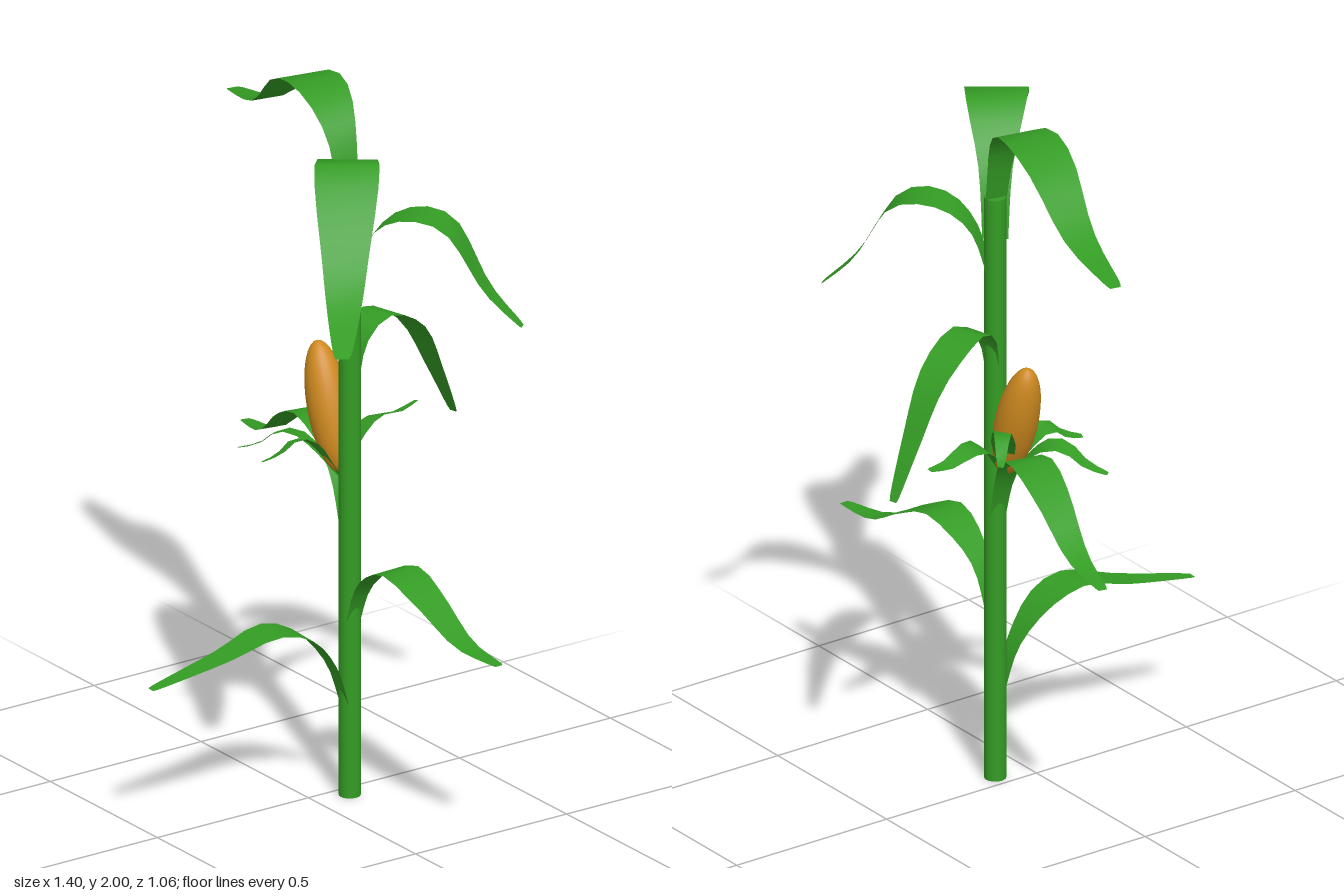
import * as THREE from 'three';

const STALK = { x: 0.045, z: -0.105, r: 0.03, top: 1.73 };
const EAR_TILT = 0.3;
const green = new THREE.MeshStandardMaterial({ color: 0x349c24, side: THREE.DoubleSide });
const gold = new THREE.MeshStandardMaterial({ color: 0xcf8a1f });

// Half-width along a blade: narrow sheath, broad middle, blunt tip
const outline = new THREE.SplineCurve(
  [[0, 0.4], [0.18, 0.53], [0.42, 1], [0.7, 0.69], [0.95, 0.34], [1, 0.2]].map(([t, w]) => new THREE.Vector2(t, w)));

// Ribbon blade: path holds [distance outward, height], heading is [x, z], tilt leans its cross-section about z
function blade(name, [bx, bz], [dx, dz], path, halfWidth, steps, tilt) {
  const dir = new THREE.Vector3(dx, 0, dz).normalize();
  const side = new THREE.Vector3(-dir.z, 0, dir.x).applyAxisAngle(new THREE.Vector3(0, 0, 1), tilt);
  const spine = new THREE.CatmullRomCurve3(
    path.map(([r, y]) => new THREE.Vector3(bx + dir.x * r, y, bz + dir.z * r)));
  const pos = [], index = [];
  for (let i = 0; i <= steps; i++) {
    const o = outline.getPoint(i / steps);
    const p = spine.getPointAt(THREE.MathUtils.clamp(o.x, 0, 1));
    for (const s of [1, -1]) pos.push(...p.clone().addScaledVector(side, s * halfWidth * o.y).toArray());
    if (i < steps) {
      const a = 2 * i;
      index.push(a, a + 2, a + 1, a + 1, a + 2, a + 3);
    }
  }
  const geo = new THREE.BufferGeometry();
  geo.setAttribute('position', new THREE.Float32BufferAttribute(pos, 3));
  geo.setIndex(index);
  geo.computeVertexNormals();
  const mesh = new THREE.Mesh(geo, green);
  mesh.name = name;
  return mesh;
}

export function createModel() {
  const model = new THREE.Group();
  model.name = 'cornPlant';

  // Stalk
  const stalk = new THREE.Mesh(new THREE.CylinderGeometry(STALK.r, STALK.r, STALK.top, 20), green);
  stalk.position.set(STALK.x, STALK.top / 2, STALK.z);
  stalk.name = 'stalk';
  model.add(stalk);

  // Long leaves, from the ground up
  const leaf = (name, dir, halfWidth, path) =>
    model.add(blade(name, [STALK.x, STALK.z], dir, path, halfWidth, 20, 0));
  leaf('lowFrontLeaf', [-0.035, 0.635], 0.06,
    [[0.015, 0.26], [0.06, 0.39], [0.15, 0.495], [0.255, 0.53], [0.4, 0.49], [0.635, 0.44]]);
  leaf('lowLeftLeaf', [0.645, -0.03], 0.06,
    [[0.01, 0.49], [0.055, 0.61], [0.125, 0.68], [0.225, 0.72], [0.355, 0.67], [0.5, 0.595], [0.655, 0.58]]);
  leaf('middleRightLeaf', [-0.665, -0.125], 0.06,
    [[0.015, 0.78], [0.06, 0.91], [0.13, 1], [0.23, 1.035], [0.36, 0.985], [0.52, 0.875], [0.68, 0.845]]);
  leaf('middleBackLeaf', [-0.115, -0.425], 0.055,
    [[0.005, 1.13], [0.026, 1.29], [0.057, 1.345], [0.12, 1.37], [0.264, 1.29], [0.367, 1.12], [0.44, 0.98]]);
  leaf('upperBackLeaf', [0.375, -0.3], 0.06,
    [[0.015, 1.5], [0.06, 1.63], [0.12, 1.69], [0.2, 1.71], [0.28, 1.685], [0.39, 1.51], [0.485, 1.415]]);
  leaf('upperFrontLeaf', [0.6, 0.45], 0.088,
    [[0.01, 1.6], [0.05, 1.75], [0.12, 1.86], [0.24, 1.94], [0.36, 1.86], [0.56, 1.665], [0.77, 1.573]]);
  leaf('topLeaf', [-0.745, -0.14], 0.077,
    [[0, 1.7], [0.055, 1.9], [0.137, 1.98], [0.24, 2], [0.36, 1.96], [0.53, 1.833], [0.76, 1.78]]);

  // Ear of corn leaning away from the stalk
  const cob = new THREE.Mesh(new THREE.SphereGeometry(1, 24, 18), gold);
  cob.scale.set(0.059, 0.183, 0.059);
  cob.position.set(-0.053, 1.098, STALK.z);
  cob.rotation.z = EAR_TILT;
  cob.name = 'cob';
  model.add(cob);

  // Husk leaves opening around the foot of the ear
  const husk = (name, dir, path) => model.add(blade(name, [0, STALK.z], dir, path, 0.034, 12, EAR_TILT));
  husk('frontHusk', [-0.045, 0.225], [[0, 0.91], [0.08, 1.02], [0.13, 1.04], [0.18, 1.005], [0.23, 0.99]]);
  husk('frontRightHusk', [-0.23, 0.175], [[0, 0.91], [0.11, 1.02], [0.17, 1.025], [0.23, 0.98], [0.29, 0.96]]);
  husk('backRightHusk', [-0.235, -0.185], [[0, 0.91], [0.13, 1.085], [0.2, 1.135], [0.25, 1.095], [0.3, 1.08]]);
  husk('backHusk', [-0.07, -0.305], [[0, 0.91], [0.09, 1.03], [0.15, 1.045], [0.23, 1.03], [0.31, 1.04]]);

  return model;
}
